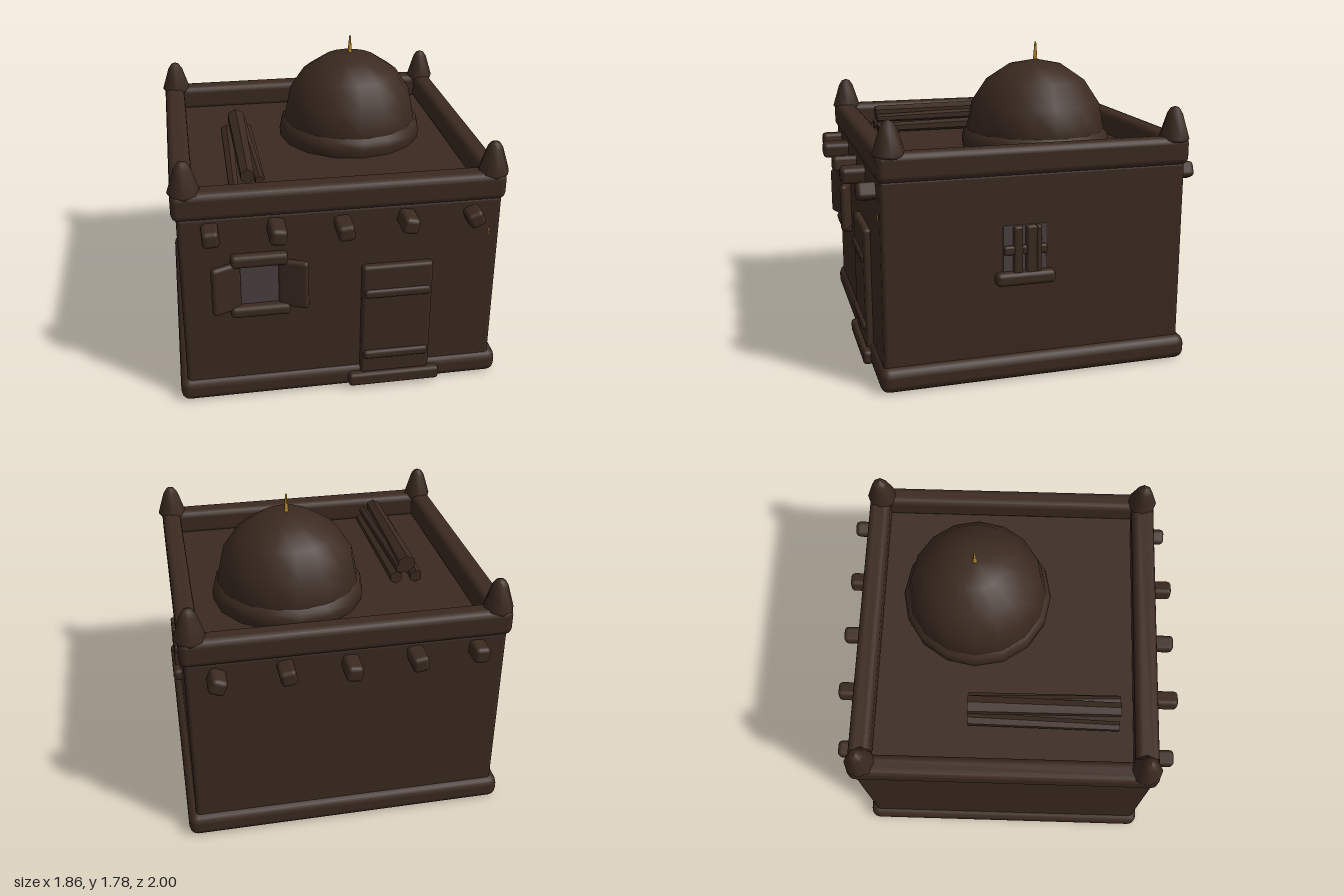
import * as THREE from 'three';
import { RoundedBoxGeometry } from 'three/addons/geometries/RoundedBoxGeometry.js';

const clay = new THREE.MeshStandardMaterial({ color: 0x3b2a20 });
const clayFlat = new THREE.MeshStandardMaterial({ color: 0x3b2a20 });
clayFlat.flatShading = true;
const pane = new THREE.MeshStandardMaterial({ color: 0x4a3f40 });
const gold = new THREE.MeshStandardMaterial({ color: 0xb8862b });

export function createModel() {
  const model = new THREE.Group();

  function add(name, geometry, material = clay, parent = model) {
    const mesh = new THREE.Mesh(geometry, material);
    mesh.name = name;
    parent.add(mesh);
    return mesh;
  }

  // Rounded block given by its extents on each axis
  function block(name, [x0, x1], [y0, y1], [z0, z1], r = 0.02, material = clay) {
    const w = x1 - x0, h = y1 - y0, d = z1 - z0;
    const mesh = add(name, new RoundedBoxGeometry(w, h, d, 2, Math.min(r, w / 2.1, h / 2.1, d / 2.1)), material);
    mesh.position.set((x0 + x1) / 2, (y0 + y1) / 2, (z0 + z1) / 2);
    return mesh;
  }

  // Walls and footing
  block('walls', [-0.89, 0.875], [0.02, 1.17], [-0.865, 0.845], 0.025);
  block('footing', [-0.93, 0.92], [0.005, 0.145], [-0.9, 0.87], 0.05);

  // Parapet around the roof
  block('parapetBack', [-0.915, 0.895], [1.15, 1.31], [-0.885, -0.76], 0.04);
  block('parapetFront', [-0.915, 0.895], [1.15, 1.31], [0.725, 0.86], 0.04);
  block('parapetLeft', [0.78, 0.895], [1.15, 1.31], [-0.88, 0.855], 0.04);
  block('parapetRight', [-0.915, -0.79], [1.15, 1.31], [-0.88, 0.855], 0.04);

  // Corner pinnacles
  const pinnacle = [[0, 1.28], [0.075, 1.28], [0.088, 1.3], [0.045, 1.435], [0.025, 1.465], [0, 1.475]]
    .map(([r, y]) => new THREE.Vector2(r, y));
  for (const x of [-0.84, 0.83]) {
    for (const z of [-0.81, 0.785]) {
      add('pinnacle', new THREE.LatheGeometry(pinnacle, 8)).position.set(x, 0, z);
    }
  }

  // Dome with its base ring and gold spike
  const dome = new THREE.Group();
  dome.name = 'dome';
  dome.position.set(0.22, 0, -0.2);
  model.add(dome);
  add('domeShell', new THREE.SphereGeometry(0.41, 16, 4, 0, Math.PI * 2, 0, Math.PI / 2), clay, dome).position.y = 1.28;
  const ring = [[0.42, 1.15], [0.435, 1.17], [0.44, 1.22], [0.43, 1.26], [0.4, 1.285]]
    .map(([r, y]) => new THREE.Vector2(r, y));
  add('domeRing', new THREE.LatheGeometry(ring, 16), clay, dome);
  add('spike', new THREE.CylinderGeometry(0.005, 0.015, 0.12, 6), gold, dome).position.y = 1.73;

  // Roof beams poking out of the front and back walls: x, y, back z, front z
  const beams = [
    [-0.72, 1.09, -0.97, 0.965], [-0.37, 1.095, -1, 1], [-0.01, 1.08, -1, 0.985],
    [0.34, 1.09, -0.99, 0.98], [0.71, 1.08, -0.99, 0.945],
  ];
  beams.forEach(([x, y, z0, z1], i) => {
    const beam = block('roofBeam', [x - 0.046, x + 0.046], [y - 0.046, y + 0.046], [z0, z1], 0.025);
    beam.rotation.z = [0.05, -0.15, 0.1, -0.2, 0.4][i];
  });

  // Front door, its cross boards and the step
  block('door', [0.1, 0.5], [0.1, 0.81], [0.8, 0.885], 0.02);
  block('doorBoardTop', [0.112, 0.488], [0.61, 0.665], [0.83, 0.9], 0.02);
  block('doorBoardBottom', [0.112, 0.488], [0.205, 0.26], [0.83, 0.905], 0.02);
  block('step', [0.03, 0.56], [0.03, 0.11], [0.75, 0.912], 0.02);

  // Front window with open shutters
  block('frontPane', [-0.59, -0.33], [0.6, 0.88], [0.8, 0.85], 0.004, pane);
  block('frontLintel', [-0.62, -0.31], [0.865, 0.94], [0.8, 0.89], 0.025);
  block('frontSill', [-0.63, -0.3], [0.558, 0.625], [0.8, 0.9], 0.025);
  for (const side of [-1, 1]) {
    const shutter = block('shutter', [-0.085, 0.085], [0.6, 0.89], [-0.022, 0.022], 0.02);
    shutter.position.x = -0.465 + side * 0.184;
    shutter.position.z = 0.875;
    shutter.rotation.y = -side * 0.4;
  }

  // Barred window on the +x wall
  block('sidePane', [0.84, 0.88], [0.6, 0.88], [-0.055, 0.19], 0.004, pane);
  for (const [z, w] of [[0.11, 0.05], [0.035, 0.06], [-0.005, 0.03]]) {
    block('windowBar', [0.86, 0.91], [0.6, 0.88], [z - w / 2, z + w / 2], 0.012);
  }
  block('windowCrossbar', [0.86, 0.905], [0.72, 0.77], [-0.055, 0.19], 0.012);
  block('sideSill', [0.84, 0.925], [0.55, 0.625], [-0.1, 0.235], 0.025);

  // Small gold handle near the front corner
  block('goldPeg', [0.805, 0.815], [0.945, 0.975], [0.835, 0.852], 0.003, gold);

  // Timber stacked on the roof: far and near x, centre y, size
  const timber = [[-0.55, -0.57, 1.21, 0.07], [-0.43, -0.415, 1.21, 0.07], [-0.49, -0.495, 1.295, 0.1], [-0.46, -0.43, 1.27, 0.06]];
  timber.forEach(([x0, x1, y, s], i) => {
    const log = add('timber', new THREE.CylinderGeometry(s * 0.42, s * 0.55, 0.87, 6), clayFlat);
    log.rotation.set(Math.PI / 2, 0, -Math.atan2(x1 - x0, 0.87));
    log.rotation.x *= i % 2 ? 1.004 : 1;
    log.position.set((x0 + x1) / 2, y, 0.21);
  });

  return model;
}
